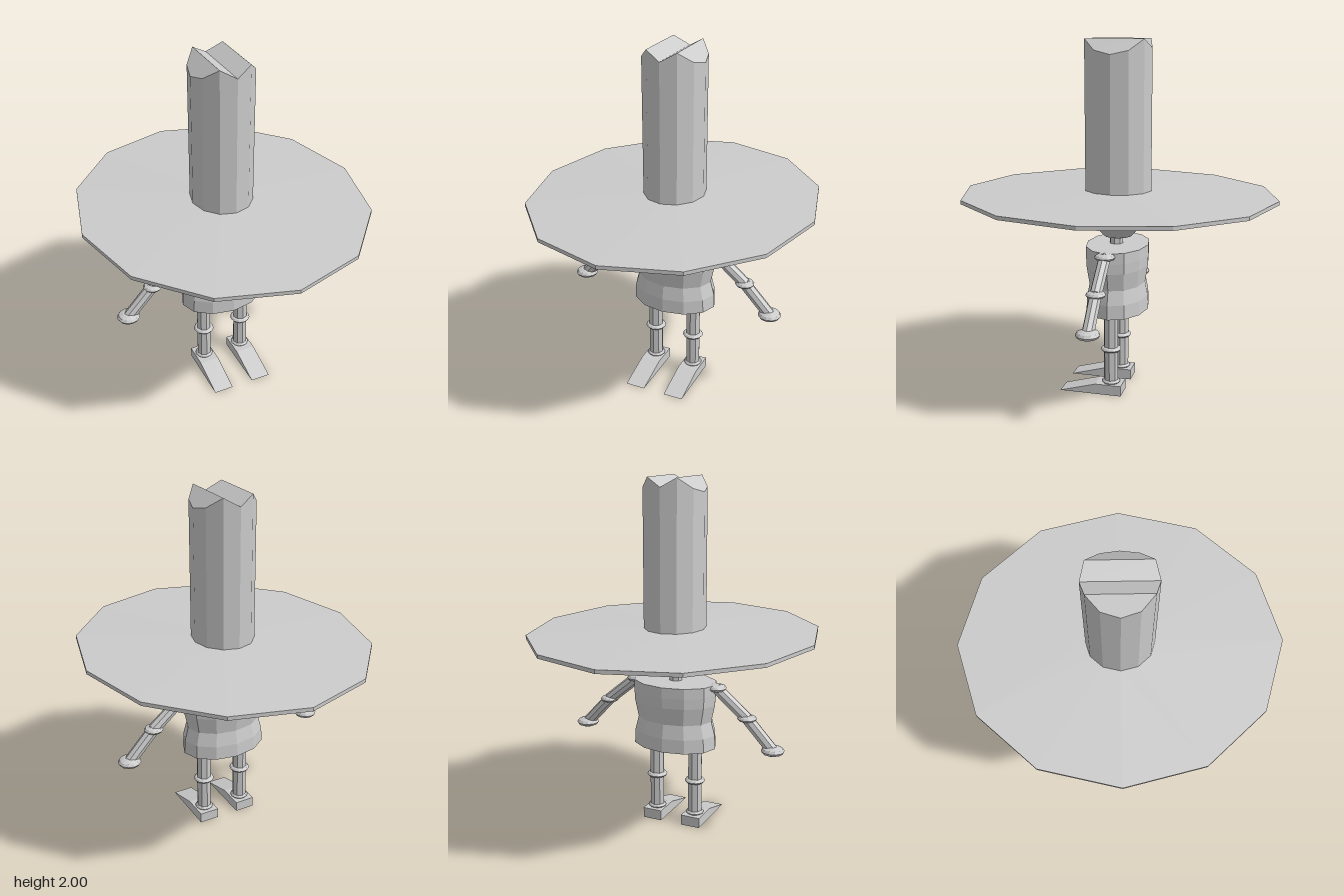
import * as THREE from 'three';

const material = new THREE.MeshStandardMaterial({ color: 0xcccccc, flatShading: true });

function add(parent, name, geometry, x = 0, y = 0, z = 0) {
  const mesh = new THREE.Mesh(geometry, material);
  mesh.name = name;
  mesh.position.set(x, y, z);
  parent.add(mesh);
  return mesh;
}

// Twelve-sided elliptical body turned from [radius factor, y] pairs, bottom to top
function turned(profile, rx, rz) {
  const points = profile.map(([r, y]) => new THREE.Vector2(r, y));
  return new THREE.LatheGeometry(points, 12).scale(rx, 1, rz);
}

// Straight eight-sided rod between two points
function rod(parent, name, from, to, radius) {
  const a = new THREE.Vector3(...from), b = new THREE.Vector3(...to);
  const dir = b.clone().sub(a);
  const mesh = add(parent, name, new THREE.CylinderGeometry(radius, radius, dir.length(), 8));
  mesh.position.copy(a).add(b).multiplyScalar(0.5);
  mesh.quaternion.setFromUnitVectors(new THREE.Vector3(0, 1, 0), dir.normalize());
}

// Flattened ball used at joints and hands
function joint(parent, name, [x, y, z], radius, halfHeight) {
  const geometry = new THREE.SphereGeometry(radius, 12, 6).scale(1, halfHeight / radius, 1);
  return add(parent, name, geometry, x, y, z);
}

// Tall crown whose top is folded into two ridges with a valley between
function crownGeometry(rx, rz, bottom) {
  const height = (x) => {
    const t = Math.abs(x) / rx;
    return t < 0.5 ? 1.95 + 0.1 * t : 2 - 0.16 * (t - 0.5);
  };
  const p = [];
  const quad = (a, b, c, d) => p.push(...a, ...b, ...c, ...a, ...c, ...d);
  const point = (i, y) => {
    const x = rx * Math.sin(i * Math.PI / 6), z = rz * Math.cos(i * Math.PI / 6);
    return [x, y ?? height(x), z];
  };
  for (let i = 0; i < 12; i++) {
    quad(point(i, bottom), point(i + 1, bottom), point(i + 1), point(i));
  }
  // Top strips run front to back
  for (let i = -3; i < 3; i++) {
    const [x0, y0, z0] = point(i), [x1, y1, z1] = point(i + 1);
    quad([x0, y0, -z0], [x0, y0, z0], [x1, y1, z1], [x1, y1, -z1]);
  }
  const geometry = new THREE.BufferGeometry();
  geometry.setAttribute('position', new THREE.Float32BufferAttribute(p, 3));
  geometry.computeVertexNormals();
  return geometry;
}

// Wedge shoe from its side profile
function footGeometry(width) {
  const shape = new THREE.Shape([[-0.06, 0], [0.3, 0], [0.09, 0.06], [-0.06, 0.06]]
    .map(([z, y]) => new THREE.Vector2(z, y)));
  return new THREE.ExtrudeGeometry(shape, { depth: width, bevelEnabled: false })
    .translate(0, 0, -width / 2).rotateY(-Math.PI / 2);
}

export function createModel() {
  const model = new THREE.Group();
  model.name = 'figureWithHat';

  // Hat
  const hat = new THREE.Group();
  hat.name = 'hat';
  model.add(hat);
  add(hat, 'brim', turned([[0, 1.127], [1, 1.127], [1, 1.148], [0.21, 1.17], [0, 1.17]], 0.805, 0.895));
  add(hat, 'crown', crownGeometry(0.172, 0.191, 1.15));

  // Head, neck and waisted torso
  add(model, 'head', new THREE.SphereGeometry(0.163, 12, 6), 0, 1.047, 0).rotation.y = Math.PI / 12;
  add(model, 'neck', new THREE.CylinderGeometry(0.038, 0.038, 0.1, 8), 0, 0.88, 0.01);
  add(model, 'torso', turned([[0, 0.48], [1, 0.48], [0.985, 0.56], [0.9, 0.64],
    [0.985, 0.74], [1, 0.8], [1, 0.86], [0, 0.86]], 0.25, 0.177));

  for (const [side, s] of [['left', 1], ['right', -1]]) {
    // Arm
    const arm = new THREE.Group();
    arm.name = side + 'Arm';
    model.add(arm);
    const shoulder = [s * 0.25, 0.842, 0.01], elbow = [s * 0.435, 0.688, 0.01], hand = [s * 0.59, 0.522, 0.01];
    rod(arm, 'upperArm', shoulder, elbow, 0.034);
    rod(arm, 'forearm', elbow, hand, 0.034);
    joint(arm, 'shoulder', shoulder, 0.058, 0.023);
    joint(arm, 'elbow', elbow, 0.055, 0.021);
    joint(arm, 'hand', hand, 0.066, 0.028);

    // Leg
    const leg = new THREE.Group();
    leg.name = side + 'Leg';
    model.add(leg);
    const x = s * 0.122;
    rod(leg, 'thigh', [x, 0.5, 0.01], [x, 0.265, 0.01], 0.042);
    rod(leg, 'shin', [x, 0.265, 0.01], [x, 0.05, 0.01], 0.042);
    joint(leg, 'hip', [x, 0.473, 0.01], 0.06, 0.02);
    joint(leg, 'knee', [x, 0.265, 0.01], 0.06, 0.02);
    joint(leg, 'ankle', [x, 0.068, 0.01], 0.053, 0.018);
    add(leg, 'foot', footGeometry(0.115), x, 0, 0);
  }
  return model;
}
